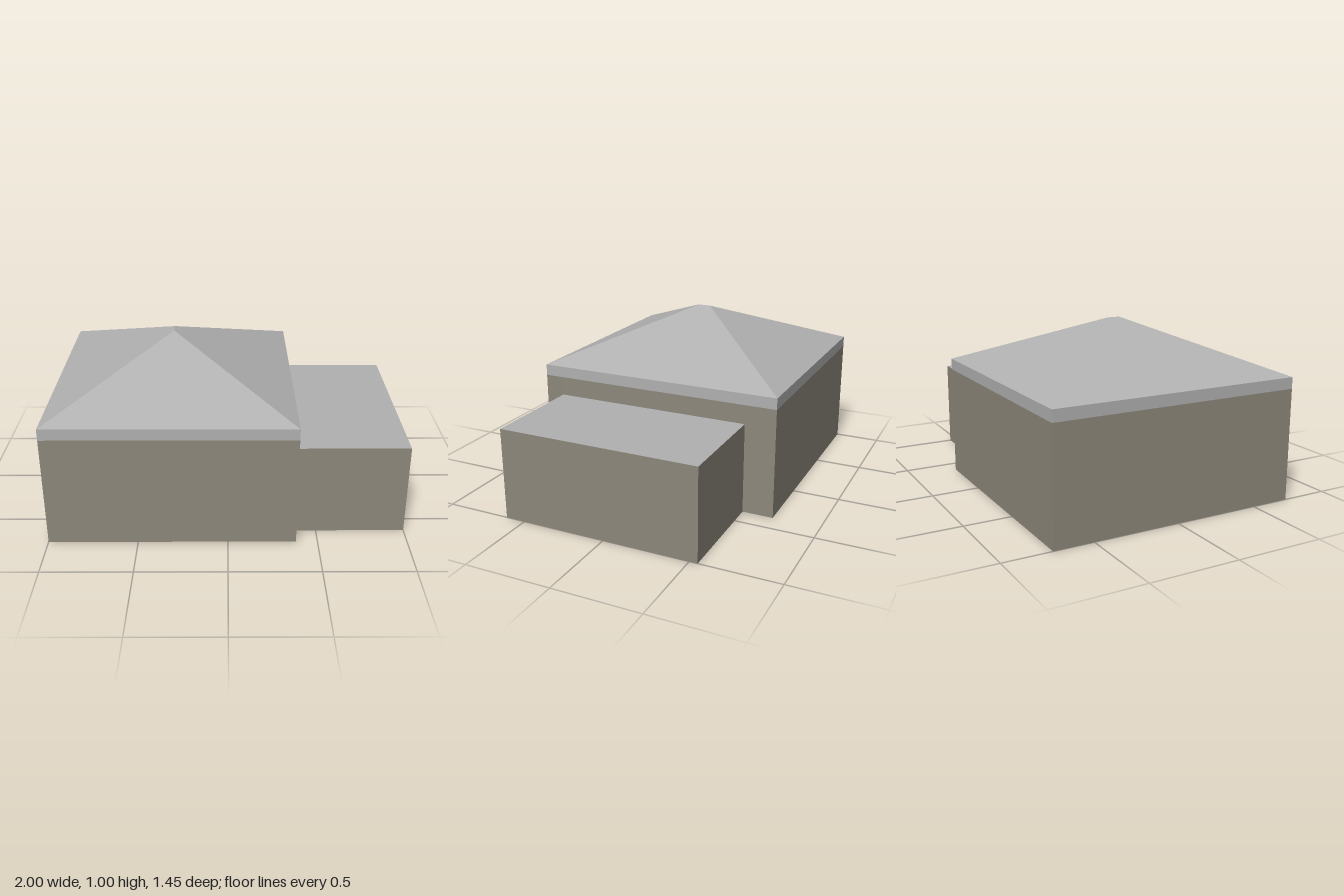
import * as THREE from 'three';

const X0 = -1, X1 = 0.38, X2 = 1;        // main block and annex along x
const ZF = 0.727, ZB = -0.727;           // main block front and back
const AF = 0.617, AB = -0.547;           // annex front and back
const ANNEX_H = 0.53, WALL_H = 0.64, EAVE_H = 0.705, RIDGE_H = 0.996;
const RIDGE_X = -0.31, RIDGE_Z = 0.037;

// Flat-shaded mesh from polygons with 3 or 4 counter-clockwise corners
function polyMesh(name, polygons, material) {
  const pos = [];
  for (const p of polygons) {
    for (let i = 1; i < p.length - 1; i++) pos.push(...p[0], ...p[i], ...p[i + 1]);
  }
  const geo = new THREE.BufferGeometry();
  geo.setAttribute('position', new THREE.Float32BufferAttribute(pos, 3));
  geo.computeVertexNormals();
  const mesh = new THREE.Mesh(geo, material);
  mesh.name = name;
  return mesh;
}

// Upright panels along a footprint path of [x, z] points
function panels(path, y0, y1) {
  return path.slice(1).map(([bx, bz], i) => {
    const [ax, az] = path[i];
    return [[ax, y0, az], [bx, y0, bz], [bx, y1, bz], [ax, y1, az]];
  });
}

export function createModel() {
  const wall = new THREE.MeshStandardMaterial({ color: 0x8d887b, side: THREE.DoubleSide });
  wall.name = 'wall taupe';
  const roof = new THREE.MeshStandardMaterial({ color: 0xb1b1b1, side: THREE.DoubleSide });
  roof.name = 'roof grey';

  const group = new THREE.Group();
  group.name = 'house';

  // Main walls, open where the annex joins, with a strip above the opening
  const mainPath = [[X1, AB], [X1, ZB], [X0, ZB], [X0, ZF], [X1, ZF], [X1, AF]];
  group.add(polyMesh('mainWalls', [
    ...panels(mainPath, 0, WALL_H),
    ...panels([[X1, AF], [X1, AB]], ANNEX_H, WALL_H),
  ], wall));

  // Eave band around the top of the main walls
  const ring = [[X0, ZF], [X1, ZF], [X1, ZB], [X0, ZB], [X0, ZF]];
  group.add(polyMesh('eaveBand', panels(ring, WALL_H, EAVE_H), roof));

  // Hipped roof with a short ridge along z
  const [fl, fr, br, bl] = ring.map(([x, z]) => [x, EAVE_H, z]);
  const rf = [RIDGE_X, RIDGE_H, RIDGE_Z], rb = [RIDGE_X, RIDGE_H, -RIDGE_Z];
  group.add(polyMesh('hippedRoof', [
    [fl, fr, rf], [fr, br, rb, rf], [br, bl, rb], [bl, fl, rf, rb],
  ], roof));

  // Annex walls and flat roof
  group.add(polyMesh('annexWalls',
    panels([[X1, AF], [X2, AF], [X2, AB], [X1, AB]], 0, ANNEX_H), wall));
  group.add(polyMesh('annexRoof', [
    [[X1, ANNEX_H, AF], [X2, ANNEX_H, AF], [X2, ANNEX_H, AB], [X1, ANNEX_H, AB]],
  ], roof));

  return group;
}
